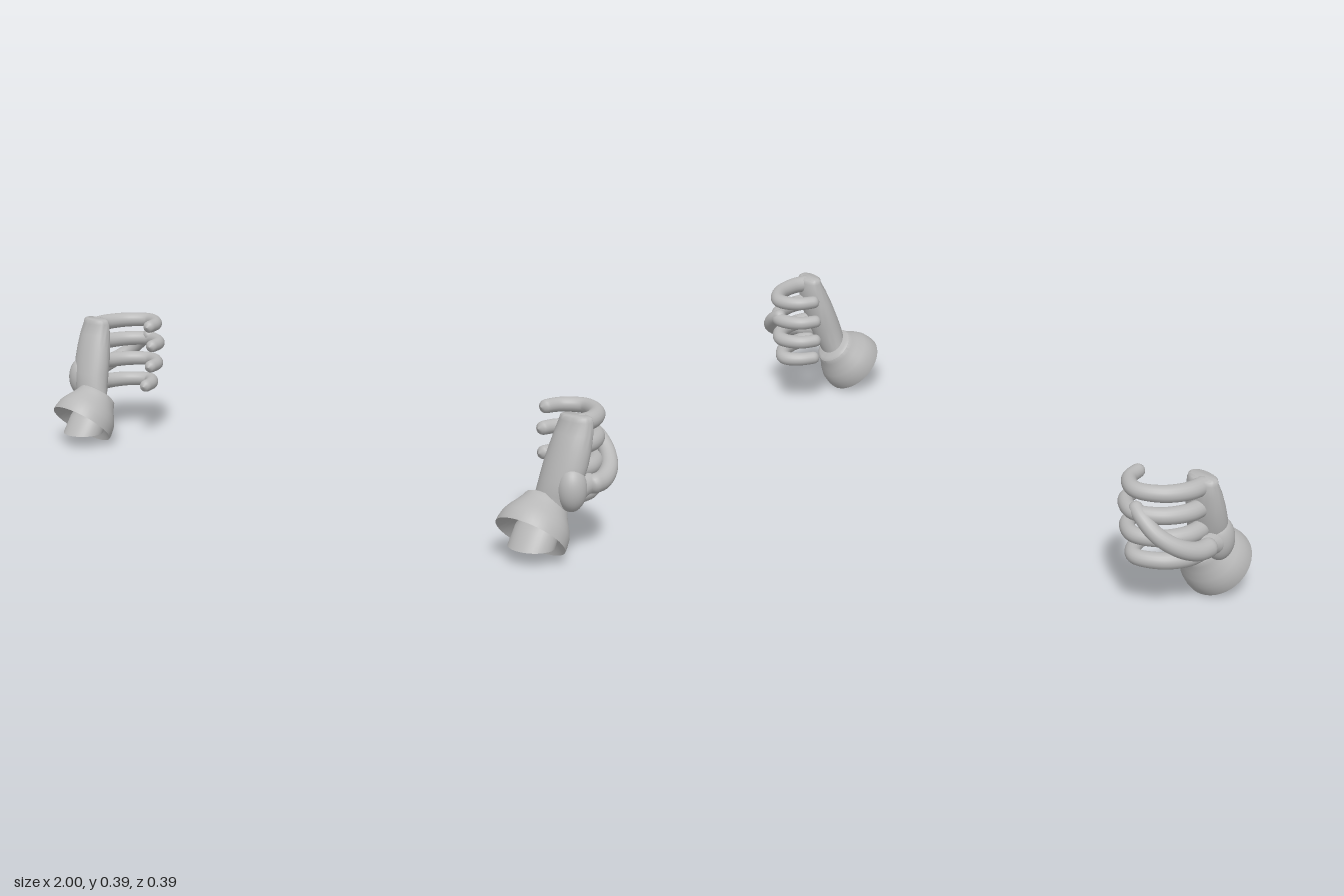
import * as THREE from 'three';
import { mergeVertices, toCreasedNormals } from 'three/addons/utils/BufferGeometryUtils.js';

const V = (x, y, z) => new THREE.Vector3(x, y, z);

// Round-ended tapering tube through the given points
function limb(points, r0, r1) {
  const curve = new THREE.CatmullRomCurve3(points);
  const length = curve.getLength(), segs = 56, sides = 18;
  const geo = new THREE.TubeGeometry(curve, segs, 1, sides, false);
  const pos = geo.attributes.position, p = new THREE.Vector3();
  for (let i = 0; i <= segs; i++) {
    const t = i / segs, c = curve.getPointAt(t);
    let r = r0 + (r1 - r0) * t;
    const d = Math.min(t, 1 - t) * length;
    if (d < r) r *= Math.max(0.02, Math.sqrt(1 - (1 - d / r) ** 2));
    for (let j = 0; j <= sides; j++) {
      const k = i * (sides + 1) + j;
      p.fromBufferAttribute(pos, k).sub(c).multiplyScalar(r).add(c);
      pos.setXYZ(k, p.x, p.y, p.z);
    }
  }
  geo.deleteAttribute('uv');
  geo.deleteAttribute('normal');
  const merged = mergeVertices(geo, 1e-5);
  merged.computeVertexNormals();
  return merged;
}

// Closed loft of horizontal ellipses, rows from bottom to top: [x, y, z, rx, rz]
function loft(rows, side) {
  const n = 32, pos = [], idx = [];
  for (const [x, y, z, rx, rz] of rows) {
    for (let j = 0; j < n; j++) {
      const a = (j / n) * Math.PI * 2;
      pos.push(side * x + Math.cos(a) * rx, y, z + Math.sin(a) * rz);
    }
  }
  for (let i = 0; i < rows.length - 1; i++) {
    for (let j = 0; j < n; j++) {
      const a = i * n + j, b = i * n + (j + 1) % n;
      idx.push(a, a + n, b, b, a + n, b + n);
    }
  }
  const top = (rows.length - 1) * n;
  for (let j = 1; j < n - 1; j++) {
    idx.push(0, j, j + 1);
    idx.push(top, top + j + 1, top + j);
  }
  const geo = new THREE.BufferGeometry();
  geo.setAttribute('position', new THREE.Float32BufferAttribute(pos, 3));
  geo.setIndex(idx);
  return toCreasedNormals(geo, 0.8);
}

function createHand(side, material) {
  const hand = new THREE.Group();
  hand.name = side > 0 ? 'leftHand' : 'rightHand';
  const add = (name, geo) => {
    const mesh = new THREE.Mesh(geo, material);
    mesh.name = name;
    hand.add(mesh);
    return mesh;
  };

  // Palm, leaning back towards the knuckles
  add('palm', loft([
    [0.872, 0.10, 0.070, 0.050, 0.042],
    [0.885, 0.14, 0.054, 0.052, 0.038],
    [0.898, 0.18, 0.046, 0.058, 0.045],
    [0.907, 0.22, 0.036, 0.063, 0.047],
    [0.912, 0.26, 0.025, 0.064, 0.046],
    [0.916, 0.30, 0.014, 0.061, 0.044],
    [0.919, 0.34, 0.004, 0.056, 0.038],
    [0.920, 0.372, -0.004, 0.050, 0.030],
    [0.920, 0.383, -0.003, 0.047, 0.027],
    [0.920, 0.387, -0.002, 0.041, 0.021],
  ], side));

  // Swelling at the base of the thumb
  const base = add('thumbBase', new THREE.SphereGeometry(1, 28, 20));
  base.scale.set(0.04, 0.062, 0.042);
  base.position.set(side * 0.945, 0.197, 0.044);

  // Bridge from the swelling to the thumb
  add('thumbJoint', limb([V(side * 0.945, 0.19, 0.045), V(side * 0.952, 0.2, 0.0),
    V(side * 0.963, 0.203, -0.045)], 0.036, 0.025));

  // Thumb, wrapping diagonally over the fingers
  add('thumb', limb([
    V(side * 0.968, 0.202, 0.002), V(side * 0.973, 0.205, -0.06), V(side * 0.958, 0.225, -0.115),
    V(side * 0.92, 0.26, -0.158), V(side * 0.875, 0.298, -0.172), V(side * 0.83, 0.322, -0.165),
  ], 0.028, 0.019));

  // Four curled fingers: [root height, tip height, reach, tip x]
  [[0.363, 0.366, 1, 0.760], [0.300, 0.303, 1.02, 0.752],
    [0.235, 0.235, 1, 0.758], [0.167, 0.168, 0.95, 0.778]].forEach(([y0, y1, k, tip], i) => {
    const y = (t) => y0 + (y1 - y0) * t;
    add('finger' + (i + 1), limb([
      V(side * 0.925, y(0), 0.01), V(side * 0.932, y(0.2), -0.06 * k),
      V(side * 0.902, y(0.5), -0.13 * k), V(side * 0.842, y(0.8), -0.168 * k),
      V(side * (tip + 0.025), y(0.9), -0.138 * k), V(side * tip, y(1), -0.072 * k),
    ], 0.026, 0.019));
  });

  // Flared cuff with a hollow underside
  const profile = [[0.045, 0.035], [0.072, 0.026], [0.101, 0], [0.101, 0.012], [0.097, 0.036],
    [0.088, 0.056], [0.075, 0.077], [0.066, 0.095], [0.061, 0.108], [0.052, 0.113], [0, 0.114]];
  const cuff = add('cuff', toCreasedNormals(
    new THREE.LatheGeometry(profile.map(([r, h]) => new THREE.Vector2(r, h)), 40), 0.7));
  cuff.rotation.x = -0.735;
  cuff.position.set(side * 0.87, 0.068, 0.12);

  // Wrist stub with a level cut
  add('wrist', loft([
    [0.87, 0.04, 0.113, 0.065, 0.062],
    [0.87, 0.09, 0.085, 0.062, 0.058],
    [0.872, 0.13, 0.06, 0.05, 0.04],
  ], side));
  return hand;
}

export function createModel() {
  const model = new THREE.Group();
  model.name = 'pairOfHands';
  const grey = new THREE.MeshStandardMaterial({ color: 0xb8b8b8 });
  grey.name = 'grey';
  for (const side of [1, -1]) model.add(createHand(side, grey));
  return model;
}
